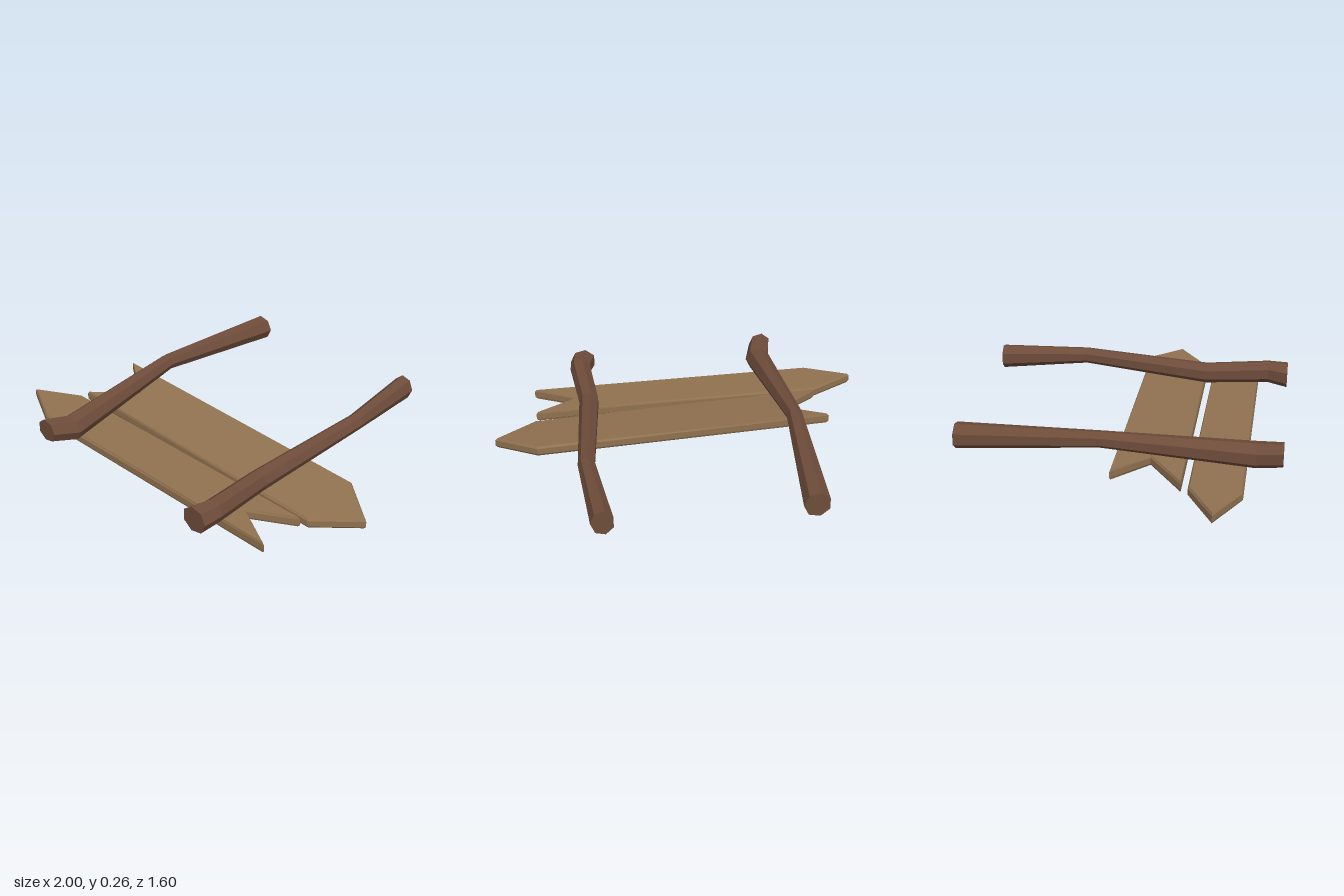
import * as THREE from 'three';

const SIDES = 7;

// Faceted crooked post from rings [x, y, z, radiusX, radiusY], ordered back to front
function postGeometry(rings) {
  const pos = [], index = [];
  for (const [x, y, z, rx, ry] of rings) {
    for (let j = 0; j < SIDES; j++) {
      const a = THREE.MathUtils.degToRad(102) + (j / SIDES) * Math.PI * 2;
      pos.push(x + Math.cos(a) * rx, y + Math.sin(a) * ry, z);
    }
  }
  const last = (rings.length - 1) * SIDES;
  for (let i = 0; i < rings.length - 1; i++) {
    for (let j = 0; j < SIDES; j++) {
      const k = (j + 1) % SIDES, b = i * SIDES, f = b + SIDES;
      index.push(b + j, b + k, f + k, b + j, f + k, f + j);
    }
  }
  for (let j = 1; j < SIDES - 1; j++) {
    index.push(0, j + 1, j, last, last + j, last + j + 1);
  }
  const g = new THREE.BufferGeometry();
  g.setAttribute('position', new THREE.Float32BufferAttribute(pos, 3));
  g.setIndex(index);
  const flat = g.toNonIndexed();
  flat.computeVertexNormals();
  return flat;
}

// Bevelled plank from an x/z outline, lying on the sloping plane y = base + slopeX*x + slopeZ*z
function boardGeometry(outline, base, slopeX, slopeZ) {
  const bevel = 0.012, thickness = 0.055;
  const shape = new THREE.Shape(outline.map(([x, z]) => new THREE.Vector2(x, -z)));
  const g = new THREE.ExtrudeGeometry(shape, {
    depth: thickness - 2 * bevel, bevelEnabled: true, bevelSegments: 1,
    bevelSize: bevel * 0.7, bevelOffset: -bevel * 0.7, bevelThickness: bevel,
  });
  g.rotateX(-Math.PI / 2);
  const p = g.attributes.position;
  for (let i = 0; i < p.count; i++) {
    p.setY(i, p.getY(i) + bevel + base + slopeX * p.getX(i) + slopeZ * p.getZ(i));
  }
  g.computeVertexNormals();
  return g;
}

export function createModel() {
  const group = new THREE.Group();
  const darkWood = new THREE.MeshStandardMaterial({ color: 0x6e4c3a });
  darkWood.name = 'darkWood';
  const lightWood = new THREE.MeshStandardMaterial({ color: 0x917250 });
  lightWood.name = 'lightWood';

  const add = (name, geometry, material) => {
    const mesh = new THREE.Mesh(geometry, material);
    mesh.name = name;
    group.add(mesh);
  };

  // Two crooked posts running front to back
  add('rightPost', postGeometry([
    [-0.5, 0.17, -0.8, 0.067, 0.067],
    [-0.55, 0.223, -0.07, 0.042, 0.043],
    [-0.5, 0.168, 0.67, 0.067, 0.067],
    [-0.537, 0.195, 0.8, 0.06, 0.062],
  ]), darkWood);
  add('leftPost', postGeometry([
    [0.51, 0.17, -0.8, 0.057, 0.067],
    [0.548, 0.186, -0.33, 0.044, 0.044],
    [0.487, 0.147, 0.35, 0.054, 0.057],
    [0.51, 0.165, 0.69, 0.057, 0.062],
    [0.488, 0.16, 0.795, 0.07, 0.07],
  ]), darkWood);

  // Arrow boards with a pointed end and a notched end
  add('backBoard', boardGeometry([
    [-0.755, 0.003], [-0.53, 0.168], [-0.755, 0.338],
    [0.785, 0.338], [1, 0.168], [0.785, 0.003],
  ], 0.081, -0.046, -0.12), lightWood);
  add('frontBoard', boardGeometry([
    [-1, 0.5], [-0.765, 0.626], [0.775, 0.636],
    [0.55, 0.508], [0.775, 0.38], [-0.765, 0.37],
  ], 0.055, -0.02, -0.02), lightWood);

  return group;
}
